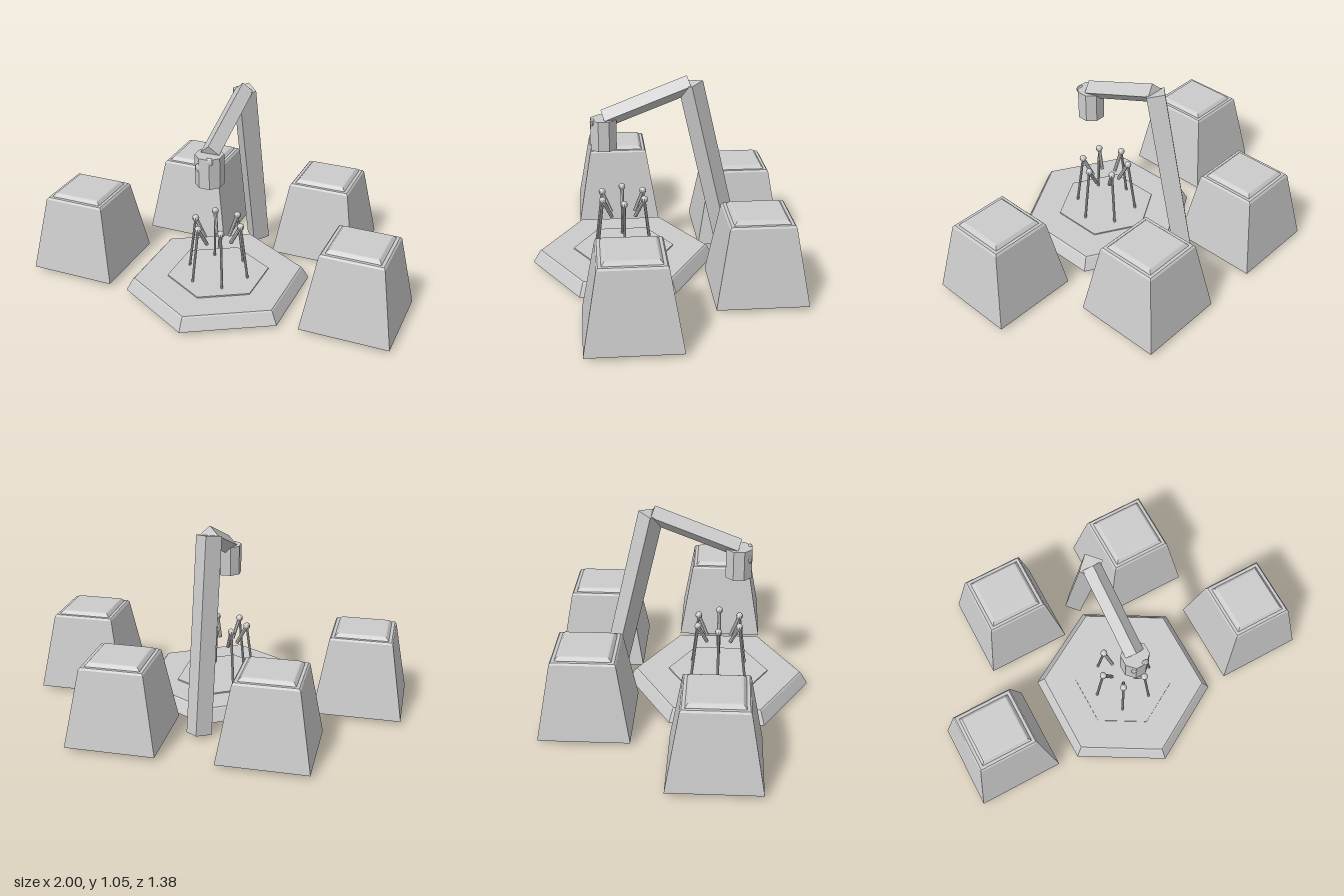
import * as THREE from 'three';

const material = new THREE.MeshStandardMaterial({ color: 0xcccccc, flatShading: true });
const UP = new THREE.Vector3(0, 1, 0);
const V = (x, y, z) => new THREE.Vector3(x, y, z);

function add(parent, geometry, name, x = 0, y = 0, z = 0) {
  const mesh = new THREE.Mesh(geometry, material);
  mesh.name = name;
  mesh.position.set(x, y, z);
  parent.add(mesh);
  return mesh;
}

// Faceted solid of revolution; profile is [radius, y] from bottom to top
function faceted(profile, sides, phi = 0) {
  const points = profile.map(([r, y]) => new THREE.Vector2(r, y));
  return new THREE.LatheGeometry(points, sides, phi);
}

// Prism whose axis runs from a to b
function strut(parent, name, a, b, r, sides) {
  const geometry = new THREE.CylinderGeometry(r, r, a.distanceTo(b), sides);
  const mesh = add(parent, geometry, name);
  mesh.position.copy(a).lerp(b, 0.5);
  mesh.quaternion.setFromUnitVectors(UP, b.clone().sub(a).normalize());
  return mesh;
}

export function createModel() {
  const model = new THREE.Group();
  model.name = 'console';
  const cz = 0.2; // centre of the platform

  // Hexagonal platform with an inset plate
  add(model, faceted([[0, 0.02], [0.49, 0.02], [0.487, 0.027], [0.455, 0.083], [0.447, 0.09], [0, 0.09]], 6), 'platform', 0, 0, cz);
  add(model, faceted([[0, 0.085], [0.27, 0.085], [0.27, 0.097], [0, 0.097]], 6), 'insetPlate', 0, 0, cz);

  // Four tapered square seats with raised cushions
  const k = Math.SQRT2; // half width to corner radius
  const body = faceted([[0, 0.02], [0.233, 0.02], [0.233, 0.025], [0.165, 0.42], [0.157, 0.43], [0, 0.43]]
    .map(([r, y]) => [r * k, y]), 4, Math.PI / 4);
  const cushion = faceted([[0.143, 0.425], [0.14, 0.433], [0.127, 0.448], [0.121, 0.45], [0, 0.45]]
    .map(([r, y]) => [r * k, y]), 4, Math.PI / 4);
  for (const [x, z] of [[0.767, 0.2], [0.383, -0.46]]) {
    for (const side of [-1, 1]) {
      const seat = new THREE.Group();
      seat.name = 'seat';
      seat.position.set(side * x, 0, z);
      add(seat, body, 'seatBase');
      add(seat, cushion, 'seatCushion');
      model.add(seat);
    }
  }

  // Leaning post and overhanging arm, both diamond in section
  strut(model, 'post', V(0, 0.016, -0.387), V(0, 1.005, -0.156), 0.066, 4);
  strut(model, 'arm', V(0, 1.003, -0.154), V(0, 0.828, 0.292), 0.05, 4);

  // Octagonal lamp head with two small knobs on its front
  const head = new THREE.CylinderGeometry(0.073, 0.073, 0.16, 8).rotateY(Math.PI / 8);
  add(model, head, 'lampHead', 0, 0.748, 0.297);
  for (const [x, y, z] of [[0.025, 0.815, 0.354], [-0.03, 0.775, 0.354]]) {
    add(model, new THREE.SphereGeometry(0.022, 10, 8), 'knob', x, y, z).scale.z = 0.6;
  }

  // Ring of six stalks, each with a ball and a short inward handle
  for (let i = 0; i < 6; i++) {
    const a = (i * Math.PI) / 3;
    const at = (r, y) => V(Math.cos(a) * r, y, cz + Math.sin(a) * r);
    const stalk = new THREE.Group();
    stalk.name = 'stalk';
    model.add(stalk);
    const top = at(0.127, 0.395);
    strut(stalk, 'stalkRod', at(0.168, 0.09), top, 0.007, 8);
    strut(stalk, 'stalkHandle', top, at(0.072, 0.288), 0.01, 8);
    add(stalk, new THREE.SphereGeometry(0.019, 10, 8), 'stalkBall', top.x, top.y, top.z);
  }

  return model;
}
